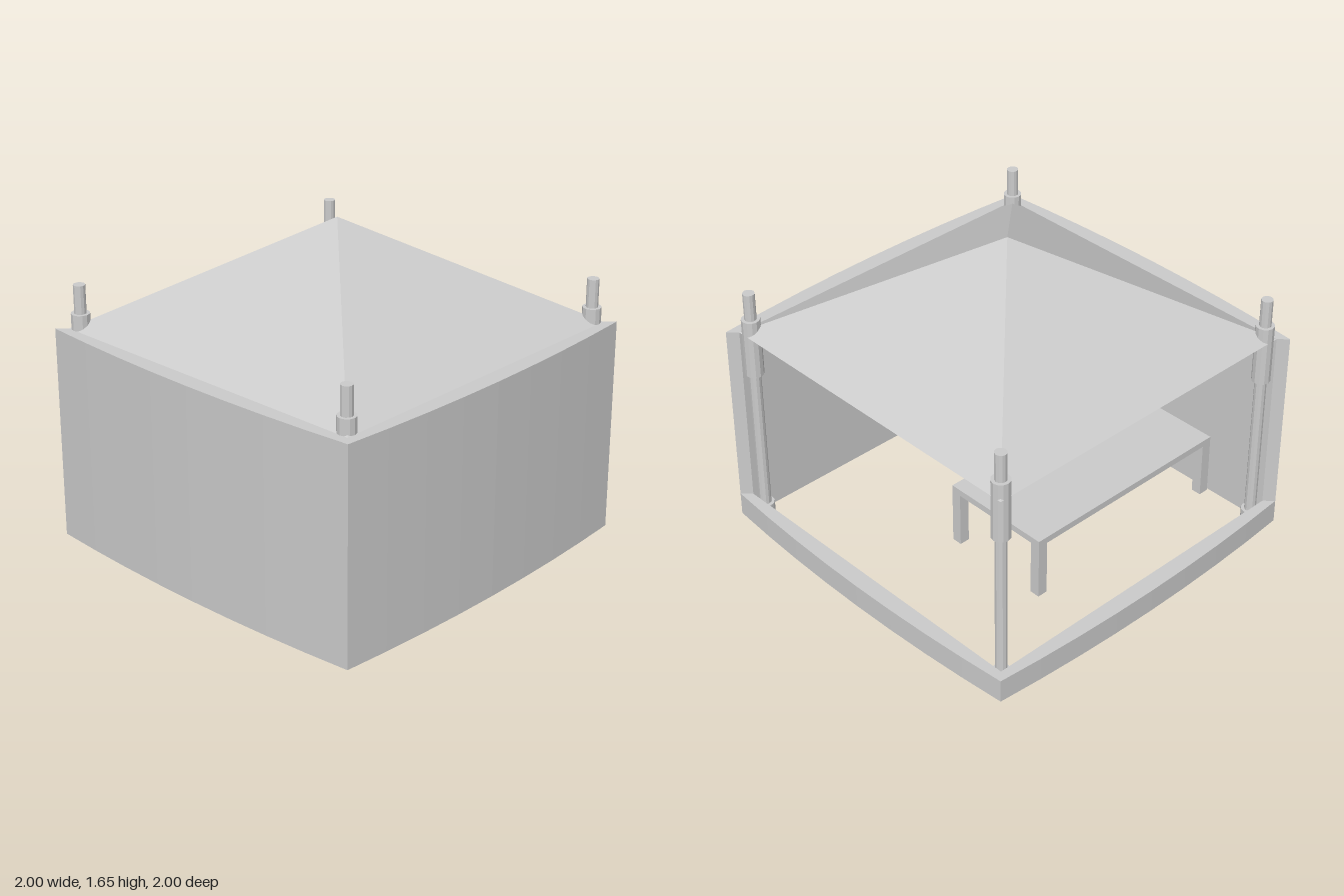
import * as THREE from 'three';

const material = new THREE.MeshStandardMaterial({ color: 0xcccccc, flatShading: true });
const roofMaterial = new THREE.MeshStandardMaterial({ color: 0xcccccc, flatShading: true, side: THREE.DoubleSide });

const EAVE = 1.105;   // top of walls and valances
const INNER = 0.91;   // half width of the roof opening
const CORNER = 0.956; // half width at the outer corners
const POLE = 0.868;   // pole offset from the centre

function add(parent, name, geometry, x = 0, y = 0, z = 0, mat = material) {
  const mesh = new THREE.Mesh(geometry, mat);
  mesh.name = name;
  mesh.position.set(x, y, z);
  parent.add(mesh);
  return mesh;
}

// Side panel with mitred ends and an outward bow, on the -z side before turning
function panelGeometry(bottom, angle) {
  const shape = new THREE.Shape();
  shape.moveTo(-INNER, INNER);
  shape.lineTo(INNER, INNER);
  const steps = 8;
  for (let i = 0; i <= steps; i++) {
    const t = 1 - (2 * i) / steps;
    shape.lineTo(CORNER * t, 1 - (1 - CORNER) * t * t);
  }
  shape.closePath();
  const geometry = new THREE.ExtrudeGeometry(shape, { depth: EAVE - bottom, bevelEnabled: false });
  return geometry.rotateX(-Math.PI / 2).rotateY(angle);
}

// Vertical cylinder given by its bottom and top heights
function addTube(parent, name, radius, bottom, top) {
  add(parent, name, new THREE.CylinderGeometry(radius, radius, top - bottom, 12), 0, (bottom + top) / 2, 0);
}

function createPole(x, z) {
  const pole = new THREE.Group();
  pole.name = 'cornerPole';
  addTube(pole, 'foot', 0.047, 0, 0.08);
  addTube(pole, 'shaft', 0.03, 0.04, 1.33);
  addTube(pole, 'sleeve', 0.047, 0.87, 1.185);
  pole.position.set(x, 0, z);
  return pole;
}

function createTable() {
  const table = new THREE.Group();
  table.name = 'table';
  const width = 0.61, length = 1.22, height = 0.34, top = 0.035, leg = 0.055;
  add(table, 'tableTop', new THREE.BoxGeometry(width, top, length), 0, height - top / 2, 0);
  const legHeight = height - top;
  for (const sx of [-1, 1]) {
    for (const sz of [-1, 1]) {
      add(table, 'tableLeg', new THREE.BoxGeometry(leg, legHeight, leg),
        sx * (width - leg) / 2, legHeight / 2, sz * (length - leg) / 2);
    }
  }
  table.position.set(-0.248, 0, 0.29);
  return table;
}

export function createModel() {
  const model = new THREE.Group();
  model.name = 'canopyTent';

  // Pyramid roof, open underneath
  const roof = new THREE.ConeGeometry(INNER * Math.SQRT2, 0.55, 4, 1, true).rotateY(Math.PI / 4);
  add(model, 'roof', roof, 0, EAVE + 0.275, 0, roofMaterial);

  // Short valances on the open sides, full walls on the front and left
  const sides = [
    ['backValance', 0.98], ['rightValance', 0.98], ['frontWall', 0], ['leftWall', 0],
  ];
  sides.forEach(([name, bottom], i) => add(model, name, panelGeometry(bottom, i * Math.PI / 2)));

  for (const sx of [-1, 1]) {
    for (const sz of [-1, 1]) model.add(createPole(sx * POLE, sz * POLE));
  }

  model.add(createTable());
  return model;
}
